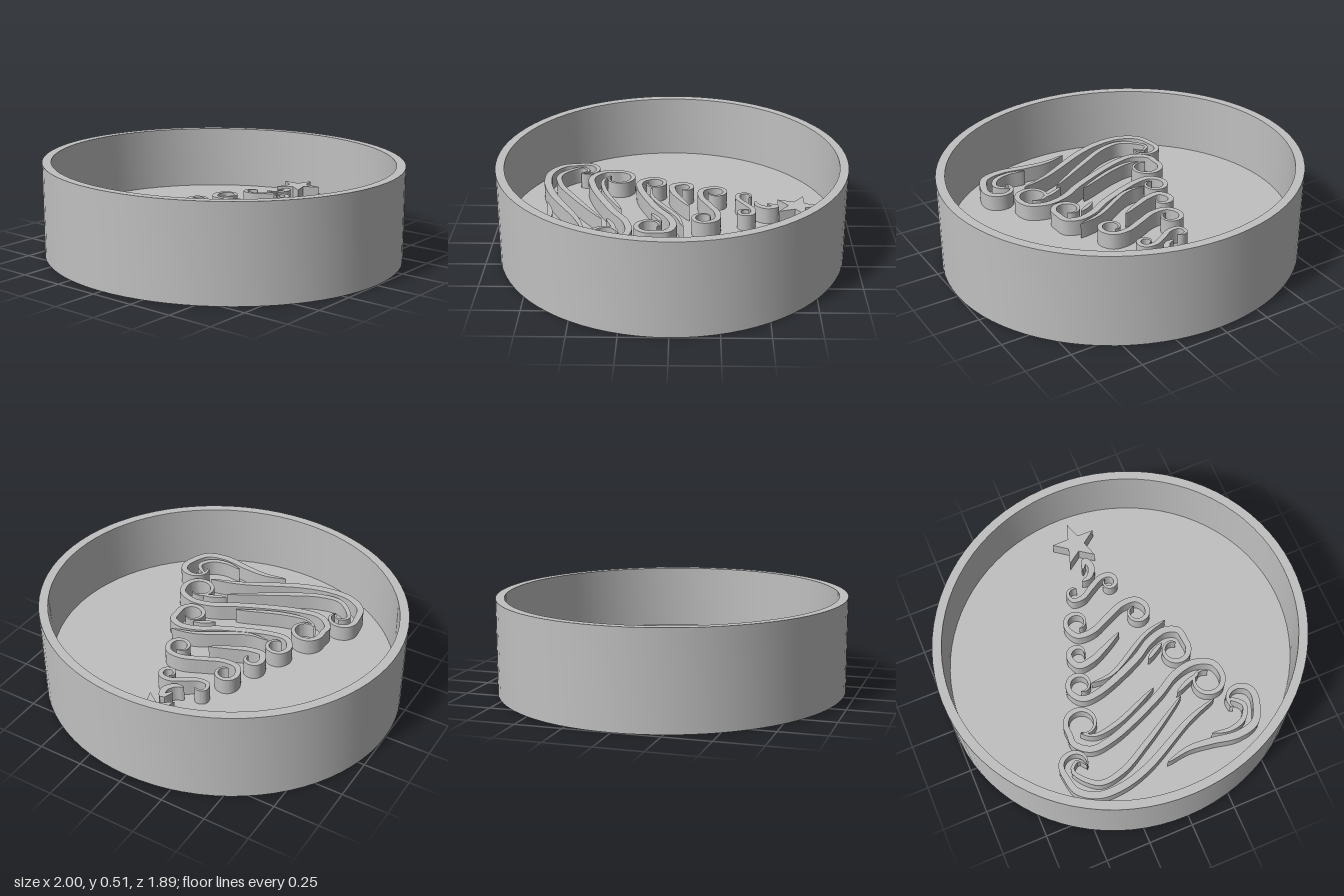
import * as THREE from 'three';
import { toCreasedNormals } from 'three/addons/utils/BufferGeometryUtils.js';

const HEIGHT = 0.515, FLOOR = 0.16, RELIEF = 0.25, DEPTH = 0.945;
const FOOT = FLOOR - 0.005;

// Spiral from its inner end out to its outer side; angles in half turns, sx and sz mirror it
function curl(cx, cz, r, start, sx = 1, sz = 1) {
  const points = [], steps = 9, end = 1.1;
  for (let i = 0; i <= steps; i++) {
    const t = i / steps, a = Math.PI * (start + (end - start) * t);
    const radius = r * (0.5 + 0.5 * Math.min(1, t * 1.3));
    points.push(cx + sx * Math.cos(a) * radius, cz - sz * Math.sin(a) * radius);
  }
  return points;
}

// The opposite end of an S: the same spiral turned half round and run inwards
function curlIn(cx, cz, r, start) {
  const out = curl(cx, cz, r, start, -1, -1), points = [];
  for (let i = out.length - 2; i >= 0; i -= 2) points.push(out[i], out[i + 1]);
  return points;
}

// Raised ribbon: tapered cross-sections along a curve, closed on top and both sides
function ribbonGeometry(points, halfWidth) {
  const pts = [];
  for (let i = 0; i < points.length; i += 2) {
    pts.push(new THREE.Vector3(points[i], 0, points[i + 1]));
  }
  const curve = new THREE.CatmullRomCurve3(pts, false, 'centripetal');
  const n = pts.length * 6;
  const rails = { lt: [], rt: [], lb: [], rb: [] };
  for (let i = 0; i <= n; i++) {
    const c = curve.getPointAt(i / n), t = curve.getTangentAt(i / n);
    const w = halfWidth * Math.sqrt(Math.max(0, Math.sin(Math.PI * i / n)));
    for (const [side, s] of [['l', 1], ['r', -1]]) {
      const x = c.x + t.z * w * s, z = c.z - t.x * w * s;
      rails[side + 't'].push([x, RELIEF, z]);
      rails[side + 'b'].push([x, FOOT, z]);
    }
  }
  const pos = [];
  for (const [a, b] of [['lt', 'rt'], ['rt', 'rb'], ['lb', 'lt']]) {
    const A = rails[a], B = rails[b];
    for (let i = 0; i < n; i++) {
      pos.push(...A[i], ...B[i], ...B[i + 1], ...A[i], ...B[i + 1], ...A[i + 1]);
    }
  }
  const g = new THREE.BufferGeometry();
  g.setAttribute('position', new THREE.Float32BufferAttribute(pos, 3));
  return toCreasedNormals(g, 0.7);
}

export function createModel() {
  const model = new THREE.Group();
  model.name = 'reliefTray';
  const grey = new THREE.MeshStandardMaterial({ color: 0xc0c0c0 });
  grey.name = 'grey';
  const add = (name, geometry, parent) => {
    const mesh = new THREE.Mesh(geometry, grey);
    mesh.name = name;
    parent.add(mesh);
    return mesh;
  };

  // Slightly oval tray with a thin wall and a raised floor
  const profile = [[0, 0], [1, 0], [1, HEIGHT], [0.95, HEIGHT], [0.95, FLOOR], [0, FLOOR]]
    .map(([x, y]) => new THREE.Vector2(x, y));
  const tray = new THREE.LatheGeometry(profile, 80);
  tray.scale(1, 1, DEPTH);
  add('tray', toCreasedNormals(tray, 0.5), model);

  // Tree drawn with ribbons: path as x, z pairs
  const tree = new THREE.Group();
  tree.name = 'swirlTree';
  model.add(tree);
  const ribbon = (name, halfWidth, ...path) => add(name, ribbonGeometry(path, halfWidth), tree);

  // Main S-shaped swirls, from the tip of the tree down
  ribbon('topCurl', 0.018, -0.01, -0.52, 0.02, -0.57, 0.04, -0.52, 0.01, -0.47, -0.04, -0.455);
  ribbon('swirlOne', 0.015, ...curl(-0.1, -0.405, 0.045, 0.3),
    -0.13, -0.368, -0.075, -0.365, -0.005, -0.405, 0.065, -0.44, 0.115, -0.435,
    ...curlIn(0.093, -0.4, 0.042, -0.3));
  ribbon('swirlTwo', 0.017, ...curl(-0.16, -0.235, 0.064, -0.5),
    -0.187, -0.165, -0.1, -0.16, 0.005, -0.203, 0.112, -0.246, 0.193, -0.24,
    ...curlIn(0.168, -0.175, 0.063, -0.5));
  ribbon('swirlThree', 0.018, ...curl(-0.22, -0.06, 0.056, -0.1),
    -0.246, 0, -0.166, -0.005, -0.075, -0.043, 0.032, -0.096);
  ribbon('swirlFour', 0.02, ...curl(-0.28, 0.108, 0.068, -0.6),
    -0.3, 0.182, -0.209, 0.182, 0.059, 0.08, 0.166, 0.016, 0.267, -0.01, 0.337, 0.02,
    ...curlIn(0.272, 0.11, 0.08, -0.7));
  ribbon('swirlFive', 0.02, ...curl(-0.352, 0.315, 0.092, -0.7),
    -0.439, 0.396, -0.364, 0.46, -0.235, 0.449, 0.086, 0.32, 0.219, 0.246, 0.337, 0.225, 0.428, 0.262,
    ...curlIn(0.363, 0.335, 0.092, -0.7));
  ribbon('swirlSix', 0.021, ...curl(-0.46, 0.515, 0.09, -0.15),
    -0.519, 0.642, -0.422, 0.706, -0.289, 0.711, -0.128, 0.668, 0.193, 0.508, 0.358, 0.455);
  ribbon('bottomSwirl', 0.021, ...curl(0.475, 0.52, 0.092, -0.15, -1),
    0.508, 0.658, 0.396, 0.69, 0.246, 0.668, 0.112, 0.658, -0.016, 0.684);

  // Thin strands that follow the inside of the wider swirls
  ribbon('upperStrandFour', 0.013, -0.22, 0.118, -0.1, 0.112, 0.166, -0.032, 0.294, -0.064);
  ribbon('tipStrandFour', 0.012, 0.118, 0.112, 0.17, 0.08, 0.225, 0.053);
  ribbon('upperStrandFive', 0.013, -0.385, 0.358, -0.316, 0.396, -0.182, 0.38, 0.08, 0.273);
  ribbon('tipStrandFive', 0.012, 0.187, 0.348, 0.273, 0.31, 0.337, 0.294);
  ribbon('upperStrandSix', 0.016, -0.415, 0.535, -0.45, 0.49, -0.5, 0.53, -0.396, 0.647, -0.262, 0.636,
    -0.075, 0.54, 0.198, 0.374);
  ribbon('bottomStrand', 0.014, 0.417, 0.535, 0.43, 0.495, 0.492, 0.55, 0.455, 0.62, 0.369, 0.647, 0.267, 0.63);

  // Five-pointed star above the tree
  const star = new THREE.Shape();
  for (let i = 0; i < 10; i++) {
    const a = Math.PI / 2 + i * Math.PI / 5, r = i % 2 ? 0.05 : 0.128;
    star[i ? 'lineTo' : 'moveTo'](Math.cos(a) * r, Math.sin(a) * r);
  }
  star.closePath();
  const starGeometry = new THREE.ExtrudeGeometry(star, { depth: RELIEF - FOOT, bevelEnabled: false });
  starGeometry.rotateX(-Math.PI / 2);
  add('star', starGeometry, tree).position.set(0.012, FOOT, -0.685);

  return model;
}
